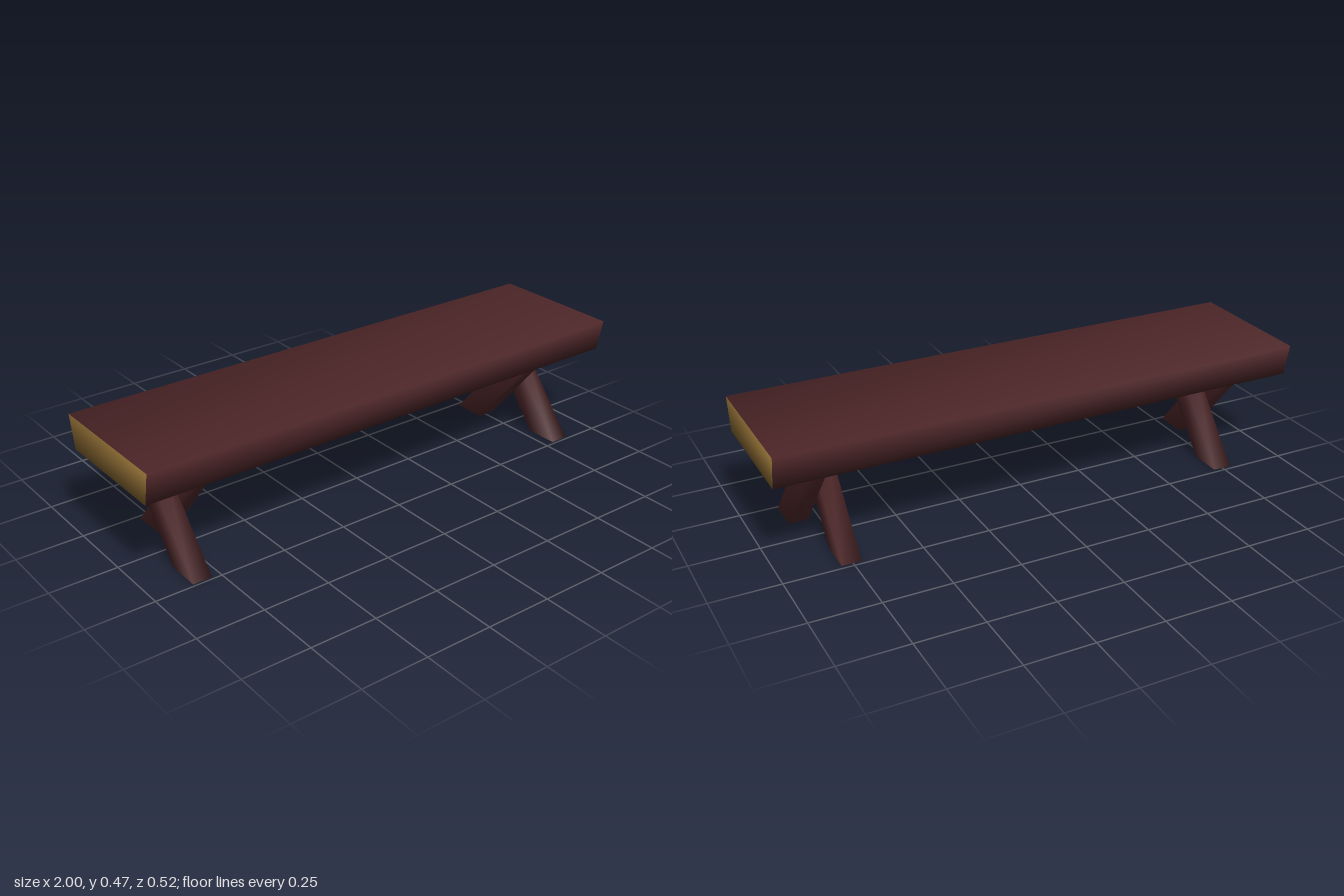
import * as THREE from 'three';
import { mergeVertices } from 'three/addons/utils/BufferGeometryUtils.js';

const darkWood = new THREE.MeshStandardMaterial({ color: 0x4c2527 });
darkWood.name = 'dark red wood';
const cutWood = new THREE.MeshStandardMaterial({ color: 0x8a6932 });
cutWood.name = 'cut end wood';

// Box standing on y = 0 with its corners moved by a rule and smooth shared normals.
function shapedBox(w, h, d, moveZ) {
  const box = new THREE.BoxGeometry(w, h, d).translate(0, h / 2, 0);
  box.deleteAttribute('normal');
  box.deleteAttribute('uv');
  const p = box.attributes.position;
  for (let i = 0; i < p.count; i++) p.setZ(i, moveZ(p.getZ(i), p.getY(i) / h));
  const groups = box.groups.map((g) => ({ ...g }));
  const geo = mergeVertices(box);
  geo.clearGroups();
  for (const g of groups) geo.addGroup(g.start, g.count, g.materialIndex);
  geo.computeVertexNormals();
  return geo;
}

export function createModel() {
  const bench = new THREE.Group();
  bench.name = 'bench';
  const legHeight = 0.345;

  // Thick plank, wider at the top, with pale sawn ends
  const seat = new THREE.Mesh(
    shapedBox(2, 0.122, 0.52, (z, t) => z * (0.905 + 0.095 * t)),
    [cutWood, cutWood, darkWood, darkWood, darkWood, darkWood]
  );
  seat.name = 'seat';
  seat.position.y = legHeight;
  bench.add(seat);

  // A crossed pair of slanted legs near each end
  for (const side of [-1, 1]) {
    const trestle = new THREE.Group();
    trestle.name = side > 0 ? 'leftTrestle' : 'rightTrestle';
    for (const [name, x, lean] of [['outerLeg', 0.822, 1], ['innerLeg', 0.752, -1]]) {
      const leg = new THREE.Mesh(
        shapedBox(0.071, legHeight, 0.126, (z, t) => z + lean * (0.174 - 0.288 * t) + 0.003),
        darkWood
      );
      leg.name = name;
      leg.position.x = side * x + 0.003;
      trestle.add(leg);
    }
    bench.add(trestle);
  }
  return bench;
}
